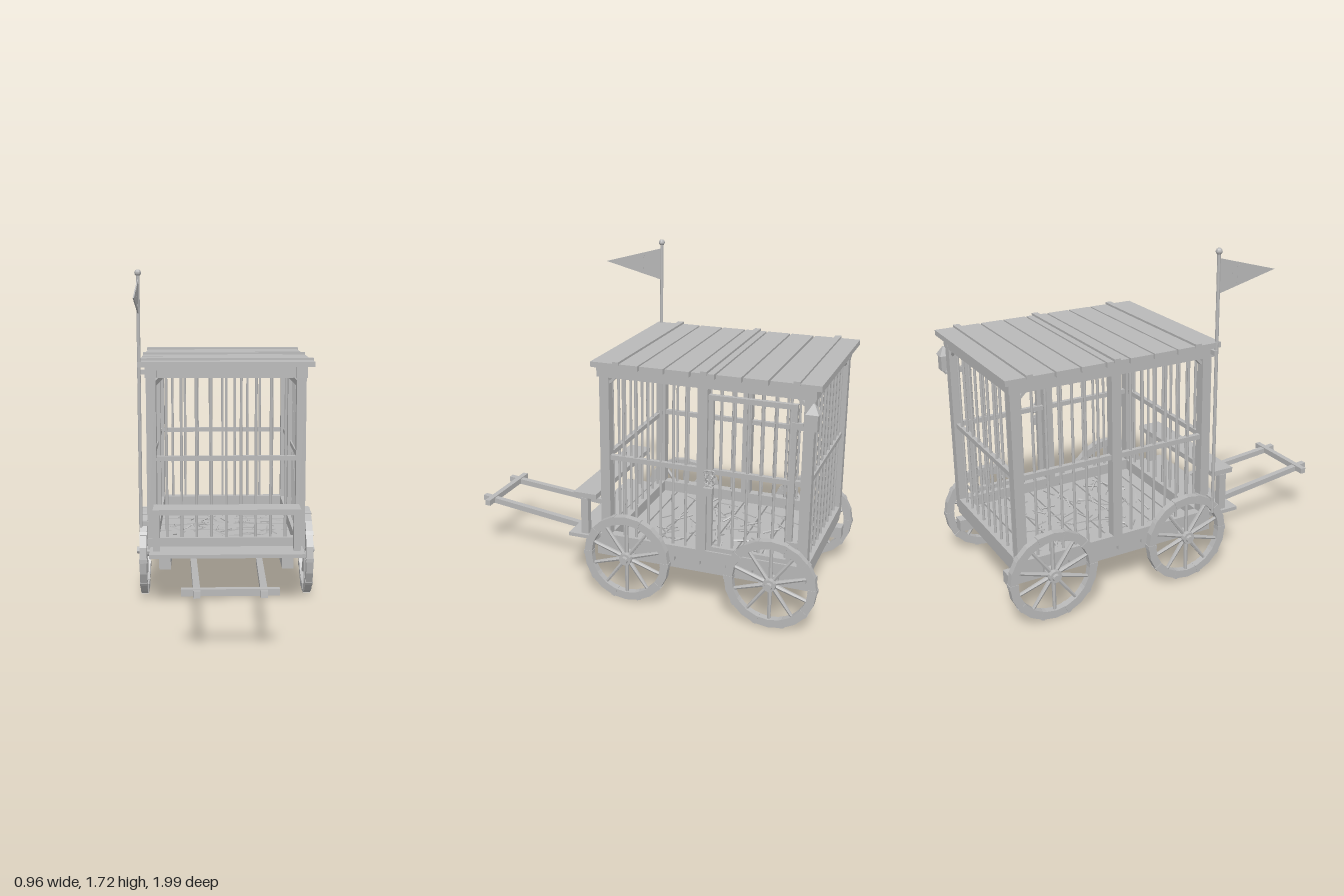
import * as THREE from 'three';

export function createModel() {
  const model = new THREE.Group();
  model.name = 'cageWagon';
  const grey = new THREE.MeshStandardMaterial({ color: 0xb8b8b8 });
  grey.name = 'plain grey';

  function add(name, geo, x = 0, y = 0, z = 0, parent = model) {
    const g = geo.index ? geo.toNonIndexed() : geo;
    g.computeVertexNormals();
    const m = new THREE.Mesh(g, grey);
    m.name = name;
    m.position.set(x, y, z);
    parent.add(m);
    return m;
  }
  // box given by its limits on each axis
  const box = (name, x0, x1, y0, y1, z0, z1, parent) =>
    add(name, new THREE.BoxGeometry(x1 - x0, y1 - y0, z1 - z0),
      (x0 + x1) / 2, (y0 + y1) / 2, (z0 + z1) / 2, parent);
  // square beam between two points
  function beam(name, a, b, w, h, parent) {
    const p = new THREE.Vector3(...a), q = new THREE.Vector3(...b);
    const m = add(name, new THREE.BoxGeometry(w, h, p.distanceTo(q)), 0, 0, 0, parent);
    m.position.copy(p).add(q).multiplyScalar(0.5);
    m.quaternion.setFromUnitVectors(new THREE.Vector3(0, 0, 1), q.sub(p).normalize());
    return m;
  }
  const bar = (x, z, y0 = 0.33, y1 = 1.19) =>
    add('cageBar', new THREE.CylinderGeometry(0.0075, 0.0075, y1 - y0, 8), x, (y0 + y1) / 2, z);

  // roof planks and the battens over them
  const gaps = [0.178, -0.077, -0.207, -0.337, -0.46, -0.59, -0.717, -0.965];
  for (let i = 0; i < 7; i++)
    box('roofPlank', -0.452, 0.452, 1.236, 1.263, gaps[i + 1] + 0.005, gaps[i] - 0.005);
  for (const z of [0.04, -0.405, -0.845])
    box('roofBatten', -0.458, 0.458, 1.255, 1.274, z - 0.016, z + 0.016);

  // floor planks, chassis rails and axles
  for (let i = 0; i < 8; i++) {
    const z = 0.15 - i * 0.135;
    box('floorPlank', -0.4, 0.4, 0.25, 0.282, z - 0.126, z);
  }
  for (const s of [-1, 1]) box('chassisRail', s * 0.32 - 0.03, s * 0.32 + 0.03, 0.187, 0.25, -0.955, 0.2);
  for (const z of [0, -0.755]) box('axle', -0.42, 0.42, 0.218, 0.258, z - 0.022, z + 0.022);

  // frame: posts, sills, top rails and corner braces on both sides
  for (const s of [-1, 1]) {
    const x = s * 0.387;
    for (const z of [0.122, -0.388, -0.9])
      box('cagePost', x - 0.025, x + 0.025, 0.28, 1.2, z - 0.025, z + 0.025);
    box('sideSill', x - 0.025, x + 0.025, 0.28, 0.34, -0.925, 0.155);
    box('sideTopRail', x - 0.03, x + 0.03, 1.18, 1.236, -0.93, 0.158);
    for (const z of [0.122, -0.9])
      beam('cornerBrace', [s * 0.37, 1.15, z], [s * 0.335, 1.185, z], 0.03, 0.014);
    for (const [z, d] of [[0.097, -0.035], [-0.875, 0.035]])
      beam('cornerBrace', [x, 1.15, z], [x, 1.185, z + d], 0.03, 0.014);
    for (let i = 0; i < 6; i++) {
      bar(x, 0.03 - i * 0.066);
      bar(x, -0.476 - i * 0.067);
    }
    box('sideCrossbar', x - 0.012, x + 0.012, 0.747, 0.772, -0.88, 0.1);
  }
  for (const z of [0.122, -0.9]) {
    box('endSill', -0.4, 0.4, 0.28, 0.34, z - 0.025, z + 0.025);
    box('endTopRail', -0.4, 0.4, 1.18, 1.236, z - 0.028, z + 0.028);
    box('endCrossbar', -0.365, 0.365, 0.747, 0.772, z - 0.012, z + 0.012);
    for (let i = -4; i <= 4; i++) bar(i * 0.0775, z);
  }

  // door on the left side, with hinges
  const door = new THREE.Group();
  door.name = 'door';
  model.add(door);
  for (const [y0, y1] of [[1.125, 1.15], [0.345, 0.368]])
    box('doorRail', 0.388, 0.412, y0, y1, -0.845, -0.418, door);
  for (const z of [-0.431, -0.833])
    box('doorStile', 0.388, 0.412, 0.345, 1.15, z - 0.012, z + 0.012, door);
  for (const y of [0.45, 1.05])
    box('hinge', 0.4, 0.418, y - 0.015, y + 0.015, -0.876, -0.822, door);

  // chain and padlock
  for (let i = 0; i < 8; i++) {
    const a = i * Math.PI / 4;
    const link = add('chainLink', new THREE.TorusGeometry(0.012, 0.004, 5, 8),
      0.42, 0.737 + 0.033 * Math.sin(a), -0.432 + 0.02 * Math.cos(a));
    link.rotation.set(a, i % 2 ? Math.PI / 2 : 0.5, 0);
  }
  const shackle = add('shackle', new THREE.TorusGeometry(0.014, 0.005, 6, 10, Math.PI), 0.432, 0.688, -0.432);
  shackle.rotation.y = Math.PI / 2;
  box('padlock', 0.417, 0.45, 0.65, 0.692, -0.455, -0.41);

  // lantern at the rear corner
  box('lanternBracket', 0.405, 0.45, 1.035, 1.05, -0.935, -0.91);
  box('lantern', 0.416, 0.466, 1.05, 1.13, -0.95, -0.9);
  const cap = add('lanternCap', new THREE.CylinderGeometry(0.006, 0.044, 0.045, 4), 0.441, 1.152, -0.925);
  cap.rotation.y = Math.PI / 4;

  // wheels: rim, hub and ten tapered spokes
  const rim = [[0.19, -0.018], [0.231, -0.018], [0.231, 0.018], [0.19, 0.018], [0.19, -0.018]]
    .map(p => new THREE.Vector2(...p));
  for (const s of [-1, 1]) for (const z of [0, -0.755]) {
    const wheel = new THREE.Group();
    wheel.name = 'wheel';
    wheel.position.set(s * 0.432, 0.237, z);
    wheel.rotation.z = -s * Math.PI / 2;
    model.add(wheel);
    add('rim', new THREE.LatheGeometry(rim, 20), 0, 0, 0, wheel);
    add('hub', new THREE.CylinderGeometry(0.032, 0.036, 0.06, 12), 0, 0, 0, wheel);
    add('hubCap', new THREE.CylinderGeometry(0.018, 0.02, 0.02, 10), 0, 0.036, 0, wheel);
    for (let i = 0; i < 10; i++) {
      const a = (i + 0.5) * Math.PI / 5;
      const spoke = add('spoke', new THREE.CylinderGeometry(0.0085, 0.0115, 0.175, 6),
        0.112 * Math.sin(a), 0, 0.112 * Math.cos(a), wheel);
      spoke.rotation.set(Math.PI / 2, 0, -a);
    }
    for (let i = 0; i < 10; i++) {
      const a = i * Math.PI / 5;
      const plate = add('rimPlate', new THREE.BoxGeometry(0.02, 0.04, 0.045),
        0.21 * Math.sin(a), 0, 0.21 * Math.cos(a), wheel);
      plate.rotation.y = a;
    }
  }

  // driver's bench and footboard
  box('footboard', -0.395, 0.395, 0.285, 0.304, 0.185, 0.345);
  box('footboardSupport', -0.35, 0.35, 0.25, 0.285, 0.14, 0.21);
  box('benchSeat', -0.375, 0.375, 0.503, 0.53, 0.195, 0.322);
  for (const s of [-1, 1]) box('benchLeg', s * 0.36 - 0.018, s * 0.36 + 0.018, 0.304, 0.503, 0.24, 0.28);

  // shafts and their crossbar
  for (const s of [-1, 1])
    beam('shaft', [s * 0.173, 0.215, 0.12], [s * 0.148, 0.305, 0.998], 0.032, 0.03);
  box('shaftCrossbar', -0.22, 0.22, 0.287, 0.318, 0.925, 0.955);

  // flagpole, finial and pennant with a raised cross
  add('flagpole', new THREE.CylinderGeometry(0.009, 0.009, 1.36, 8), -0.445, 1.02, 0.152);
  add('finial', new THREE.SphereGeometry(0.017, 12, 8), -0.445, 1.71, 0.152);
  for (const y of [0.42, 1.21]) box('poleBracket', -0.454, -0.405, y - 0.012, y + 0.012, 0.135, 0.152);
  const flat = (name, pts, depth, x) => {
    const shape = new THREE.Shape(pts.map(p => new THREE.Vector2(...p)));
    const g = new THREE.ExtrudeGeometry(shape, { depth, bevelEnabled: false });
    add(name, g.translate(0, 0, -depth / 2).rotateY(-Math.PI / 2), x);
  };
  flat('pennant', [[0.155, 1.505], [0.483, 1.588], [0.155, 1.677]], 0.006, -0.445);
  flat('pennantCross', [[0.257, 1.545], [0.277, 1.545], [0.274, 1.597], [0.305, 1.592], [0.305, 1.617],
    [0.274, 1.612], [0.28, 1.635], [0.254, 1.635], [0.26, 1.612], [0.229, 1.617], [0.229, 1.592],
    [0.26, 1.597]], 0.009, -0.445);

  // loose straw on the floor
  let seed = 7;
  const rnd = () => (seed = (seed * 16807) % 2147483647) / 2147483647;
  for (let i = 0; i < 60; i++) {
    const x = -0.28 + 0.56 * rnd(), z = -0.75 + 0.7 * rnd(), a = rnd() * Math.PI * 2;
    const l = 0.03 + 0.03 * rnd();
    beam('straw', [x - l * Math.cos(a), 0.286, z - l * Math.sin(a)],
      [x + l * Math.cos(a), 0.288 + 0.02 * rnd(), z + l * Math.sin(a)], 0.008, 0.006);
  }
  return model;
}
